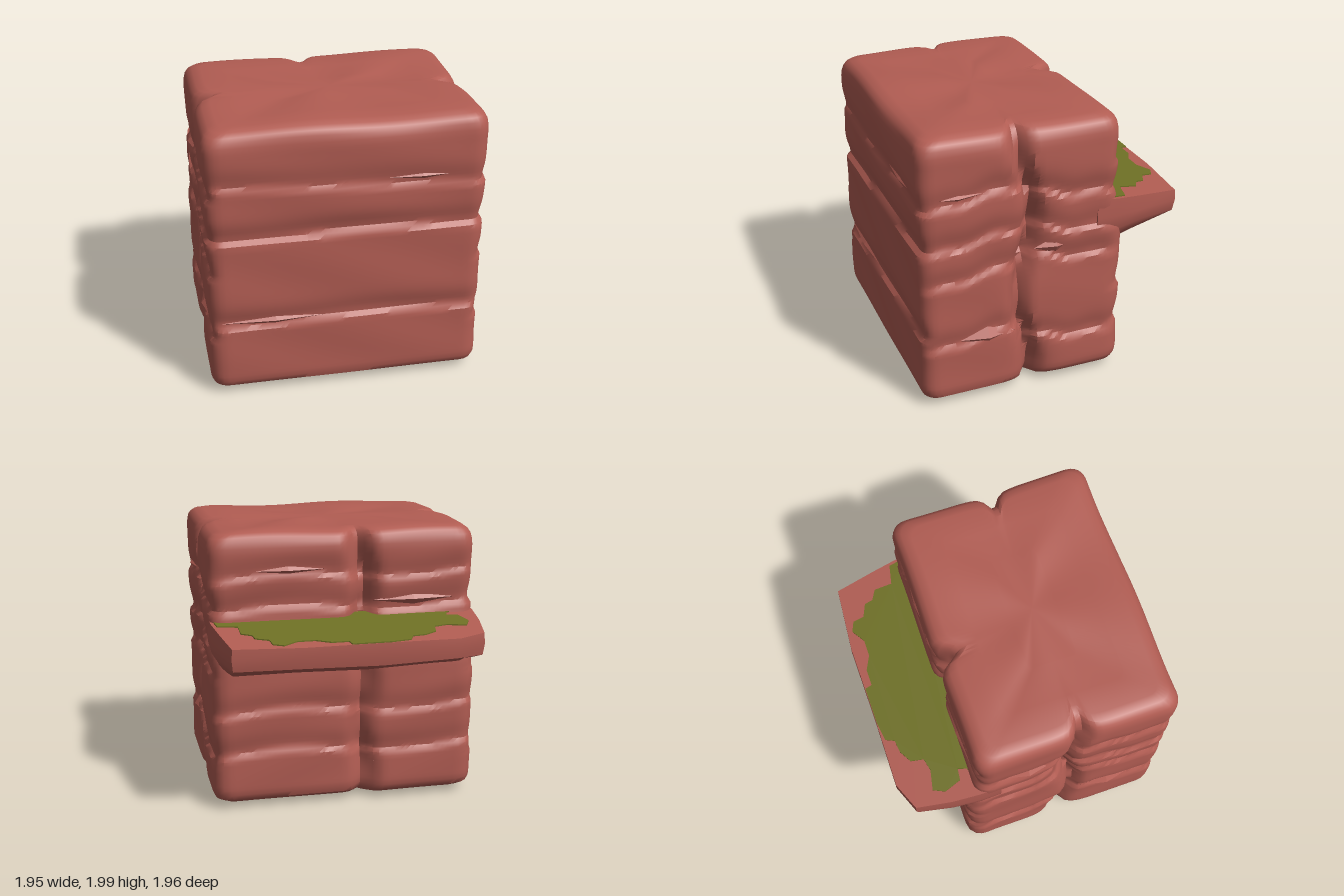
import * as THREE from 'three';
import { toCreasedNormals } from 'three/addons/utils/BufferGeometryUtils.js';

const V = (x, y, z) => new THREE.Vector3(x, y, z);
const bell = (t, w) => Math.exp(-(t / w) * (t / w));

// Closed skin over rings of equal length, each running from +x to +z, bottom to top
function loft(rings, crease) {
  const n = rings[0].length, pts = rings.flat(), idx = [];
  for (let i = 0; i < rings.length - 1; i++) {
    for (let j = 0; j < n; j++) {
      const a = i * n + j, b = i * n + (j + 1) % n;
      idx.push(a, a + n, b, b, a + n, b + n);
    }
  }
  for (const top of [false, true]) {
    const ring = rings[top ? rings.length - 1 : 0], base = top ? pts.length - n : 0;
    const c = ring.reduce((s, p) => s.add(p), V(0, 0, 0)).divideScalar(n);
    const ci = pts.push(c) - 1;
    for (let j = 0; j < n; j++) {
      const a = base + j, b = base + (j + 1) % n;
      if (top) idx.push(ci, b, a); else idx.push(ci, a, b);
    }
    if (!top) { // keep the last ring at the end of the list for the top cap
      pts.push(...rings[rings.length - 1]);
    }
  }
  const g = new THREE.BufferGeometry().setFromPoints(pts);
  g.setIndex(idx);
  return toCreasedNormals(g, crease);
}

// Points and outward normals around a rounded rectangle
function roundedOutline(hw, hd, cz, r, step) {
  const out = [], nx = Math.round(2 * hw / step), nz = Math.round(2 * hd / step);
  const add = (x, z) => {
    const qx = THREE.MathUtils.clamp(x, r - hw, hw - r), qz = THREE.MathUtils.clamp(z, r - hd, hd - r);
    const l = Math.hypot(x - qx, z - qz);
    out.push({ x: qx + (x - qx) / l * r, z: cz + qz + (z - qz) / l * r, nx: (x - qx) / l, nz: (z - qz) / l });
  };
  for (let i = 0; i < nz; i++) add(hw, -hd + 2 * hd * i / nz);
  for (let i = 0; i < nx; i++) add(hw - 2 * hw * i / nx, hd);
  for (let i = 0; i < nz; i++) add(-hw, hd - 2 * hd * i / nz);
  for (let i = 0; i < nx; i++) add(-hw + 2 * hw * i / nx, -hd);
  return out;
}

// Layer seam: a rounded overhang above a sharp ledge
function seam(y, s, depth) {
  return depth * (y > s ? bell(y - s, 0.1) : bell(y - s, 0.02));
}

// How far the rock face is cut inwards at a point
function carve(p, y) {
  const { x, z, nx, nz } = p;
  let d = 0.006 * Math.sin(5 * x + 7 * y + 1) * Math.sin(4 * z - 6 * y);
  const front = Math.max(0, nz) ** 2, back = Math.max(0, -nz) ** 2, side = nx * nx;
  // front strata
  const wave = 0.012 * Math.sin(4 * x + 1);
  d += front * (seam(y, 0.57 + wave, 0.03) + seam(y, 1.22 + wave, 0.035) + seam(y, 1.56 - 0.05 * x, 0.022));
  // side strata, stepped between the front and back halves
  const tilt = 0.04 * Math.sin(5 * z) + 0.015 * Math.sin(17 * z);
  const levels = z > 0.22 ? [0.5, 0.98, 1.24, 1.55] : [0.4, 1.03, 1.24, 1.5];
  for (const s of levels) d += side * seam(y, s + tilt, 0.028);
  // upright cleft down each side
  const zg = 0.22 + 0.05 * Math.sin(5.2 * y - 2.2);
  const t = z - zg;
  d += side * (0.1 * bell(t, 0.05) + 0.05 * bell(t, 0.12) * (1 + Math.sin(6 * y + 1)) / 2);
  // back strata and the central cleft
  for (const s of [0.42, 0.72, 1.45, 1.68]) d += back * seam(y, s + 0.03 * Math.sin(4 * x), 0.025);
  d += back * (y > 1.2 ? 0.13 : 0.08) * bell(x + 0.13 + 0.02 * Math.sin(9 * y), 0.07);
  // thicker lower back
  const low = 1 - THREE.MathUtils.smoothstep(y, 1.0, 1.45);
  d -= back * low * (x < -0.13 ? 0.085 : 0.05);
  return d;
}

function rockBody() {
  const outline = roundedOutline(0.955, 0.72, 0.25, 0.11, 0.04);
  const rings = [];
  const levels = [[0.03, 0.5], [0.03, 0.12], [0.05, 0.06], [0.08, 0.018], [0.12, 0.003]];
  for (let y = 0.16; y < 1.86; y += 0.03) levels.push([y, 0]);
  levels.push([1.88, 0.003], [1.92, 0.012], [1.95, 0.028], [1.975, 0.06], [1.99, 0.12], [1.98, 0.3], [1.985, 0.55]);
  for (const [y, inset] of levels) {
    rings.push(outline.map(p => {
      const d = carve(p, y) * (inset > 0.2 ? 0 : 1);
      // flat faces shrink towards the middle of the block
      const kx = 1 - inset / 0.955, kz = 1 - inset / 0.72;
      const lift = y > 1.9 ? 0.008 * Math.sin(5 * p.x + 3 * p.z) : 0;
      return V((p.x - p.nx * d) * kx, y + lift, 0.25 + (p.z - p.nz * d - 0.25) * kz);
    }));
  }
  return loft(rings, 0.6);
}

// Sloping plane of the ledge top
const ledgeTop = z => 1.31 + 0.07 * (z + 0.98) / 0.6;

function ledgeSlab() {
  const outline = [[0.95, -0.3], [-0.95, -0.3], [-0.95, -0.45], [-0.93, -0.65], [-0.88, -0.9], [-0.68, -0.98],
    [-0.15, -0.975], [0.4, -0.98], [0.87, -0.94], [0.92, -0.65], [0.95, -0.45]];
  const levels = [[1.02, 0.4, 0.93], [1.06, 0.5, 0.96], [1.11, 0.76, 0.97], [1.16, 0.98, 0.99], [1.24, 1, 1], [0, 0.995, 0.995]];
  return loft(levels.map(([y, k, sx]) => outline.map(([x, z]) => {
    const zz = -0.3 + (z + 0.3) * k;
    return V(x * sx, y ? y + 0.01 * Math.sin(7 * x) : ledgeTop(zz), zz);
  })), 0.5);
}

function mossPatch() {
  const edge = [[0.93, -0.38], [0.91, -0.52], [0.77, -0.55], [0.77, -0.68], [0.7, -0.72], [0.69, -0.78], [0.6, -0.82],
    [0.59, -0.9], [0.52, -0.93], [0.42, -0.87], [0.3, -0.87], [0.2, -0.92], [0.08, -0.92], [0.07, -0.97], [-0.2, -0.97],
    [-0.34, -0.95], [-0.37, -0.89], [-0.46, -0.88], [-0.55, -0.83], [-0.57, -0.74], [-0.66, -0.72], [-0.8, -0.75],
    [-0.84, -0.67], [-0.8, -0.55], [-0.72, -0.54], [-0.74, -0.48], [-0.86, -0.45], [-0.8, -0.38]];
  const shape = new THREE.Shape(edge.map(([x, z]) => new THREE.Vector2(x, -z)));
  const g = new THREE.ExtrudeGeometry(shape, { depth: 0.008, bevelEnabled: false }).rotateX(-Math.PI / 2);
  const pos = g.attributes.position;
  for (let i = 0; i < pos.count; i++) pos.setY(i, pos.getY(i) + ledgeTop(pos.getZ(i)));
  g.computeVertexNormals();
  return g;
}

export function createModel() {
  const model = new THREE.Group();
  model.name = 'mossyRock';
  const stone = new THREE.MeshStandardMaterial({ color: 0xb25d53 });
  stone.name = 'red stone';
  const moss = new THREE.MeshStandardMaterial({ color: 0x6f7125 });
  moss.name = 'green moss';
  const add = (name, geometry, material) => {
    const m = new THREE.Mesh(geometry, material);
    m.name = name;
    model.add(m);
    return m;
  };
  add('rockBody', rockBody(), stone);
  add('ledge', ledgeSlab(), stone);
  add('mossPatch', mossPatch(), moss);

  // Thin flakes of stone along the seams: position, half sizes
  const flakes = [
    [0.93, 0.5, 0.5, 0.045, 0.07, 0.2], [-0.93, 0.53, 0.55, 0.045, 0.06, 0.2],
    [0.92, 1.4, -0.2, 0.035, 0.06, 0.14], [-0.92, 1.5, -0.1, 0.045, 0.05, 0.2],
    [0.92, 1.58, 0.7, 0.035, 0.03, 0.2], [0.92, 1.1, 0, 0.035, 0.06, 0.16],
    [0.5, 1.58, 0.94, 0.35, 0.03, 0.025], [-0.5, 0.58, 0.94, 0.38, 0.03, 0.025],
    [-0.5, 1.48, -0.45, 0.3, 0.04, 0.03], [0.4, 1.72, -0.44, 0.3, 0.04, 0.03],
    [-0.5, 0.3, -0.52, 0.3, 0.06, 0.03], [-0.1, 0.035, 0.13, 0.15, 0.025, 0.06],
  ];
  flakes.forEach(([x, y, z, sx, sy, sz]) => {
    const f = add('stoneFlake', toCreasedNormals(new THREE.OctahedronGeometry(1), 0.3), stone);
    f.position.set(x, y, z);
    f.scale.set(sx, sy, sz);
  });
  return model;
}
